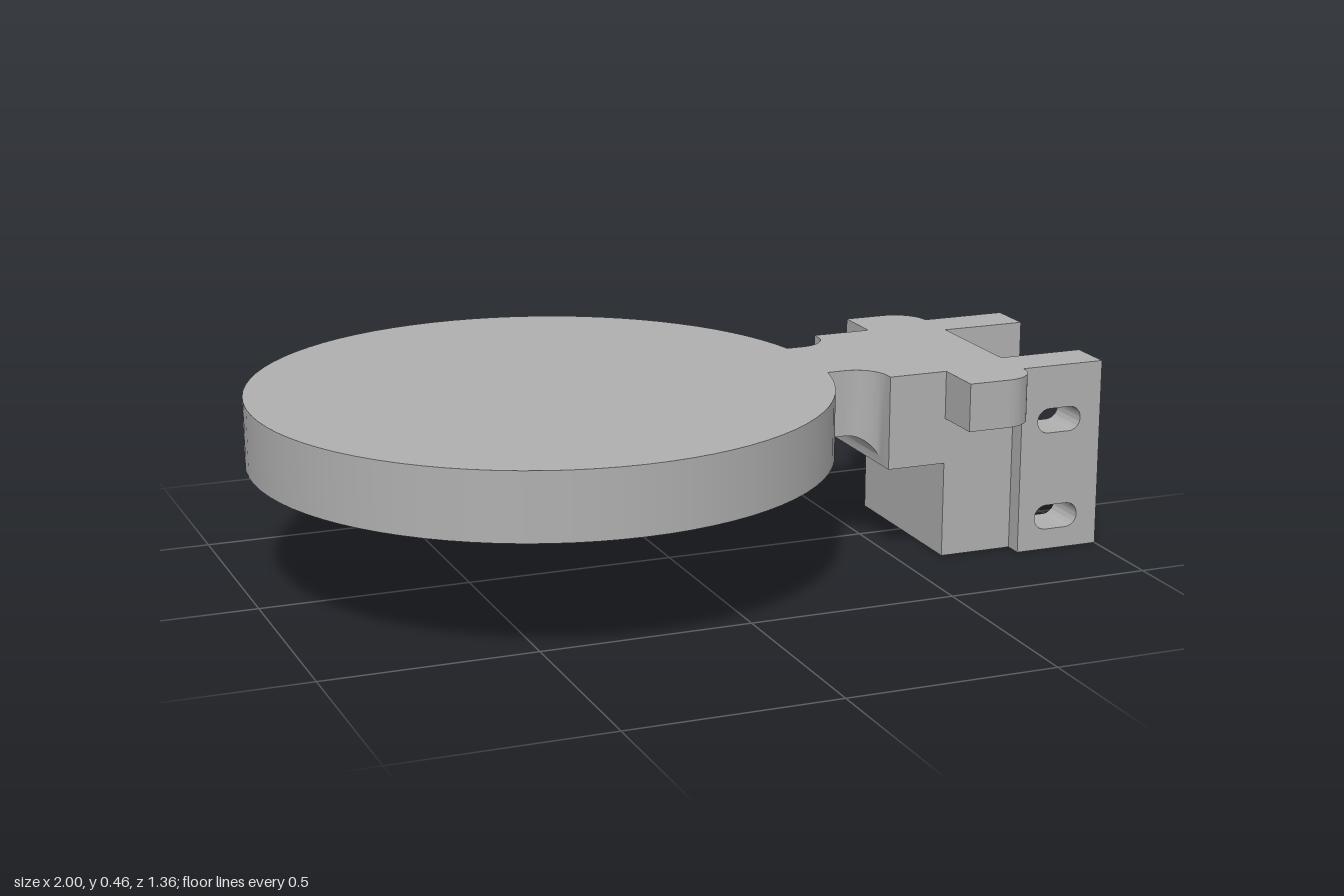
import * as THREE from 'three';
import { toCreasedNormals } from 'three/addons/utils/BufferGeometryUtils.js';

const TOP = 0.455, DISC_BOTTOM = 0.295;

export function createModel() {
  const model = new THREE.Group();
  model.name = 'discBracket';
  const grey = new THREE.MeshStandardMaterial({ color: 0xb0b0b0 });
  grey.name = 'plainGrey';

  const add = (parent, name, geometry) => {
    const mesh = new THREE.Mesh(geometry, grey);
    mesh.name = name;
    parent.add(mesh);
    return mesh;
  };
  const box = (parent, name, x0, x1, y0, y1, z0, z1) =>
    add(parent, name, new THREE.BoxGeometry(x1 - x0, y1 - y0, z1 - z0))
      .position.set((x0 + x1) / 2, (y0 + y1) / 2, (z0 + z1) / 2);
  const extrude = (shape, depth) => toCreasedNormals(
    new THREE.ExtrudeGeometry(shape, { depth, bevelEnabled: false, curveSegments: 12 }), 0.5);

  // Round plate
  add(model, 'roundPlate', new THREE.CylinderGeometry(0.68, 0.68, TOP - DISC_BOTTOM, 80))
    .position.set(-0.32, (TOP + DISC_BOTTOM) / 2, 0);

  // Bracket, set slightly off the plate's centre line
  const bracket = new THREE.Group();
  bracket.name = 'bracket';
  bracket.position.z = 0.01;
  model.add(bracket);

  // Neck: widens and deepens through concave fillets into the step block
  const x0 = 0.34, x1 = 0.465;
  const fillet = (x, r) => {
    const t = Math.max(0, x - (x1 - r));
    return r - Math.sqrt(Math.max(0, r * r - t * t));
  };
  const neck = new THREE.BoxGeometry(1, 1, 2, 24, 1, 1);
  const p = neck.attributes.position;
  for (let i = 0; i < p.count; i++) {
    // Sections bunch up towards the steep end of the fillets
    const u = p.getX(i) + 0.5;
    const x = x0 + (x1 - x0) * Math.sin(u * Math.PI / 2);
    const y = p.getY(i) > 0 ? TOP : DISC_BOTTOM - fillet(x, 0.065);
    p.setXYZ(i, x, y, p.getZ(i) * (0.122 + fillet(x, 0.075)));
  }
  add(bracket, 'neck', toCreasedNormals(neck, 0.5));

  // Step block behind the clamp body
  box(bracket, 'stepBlock', 0.465, 0.61, 0.23, TOP, -0.215, 0.215);

  // Clamp body: solid back, and a frame around the pocket between the arms
  const bodyTop = 0.34, pocketBack = 0.69, xb = 0.79;
  box(bracket, 'bodyBack', 0.61, pocketBack, 0, bodyTop, -0.215, 0.215);
  box(bracket, 'pocketFloor', pocketBack, xb, 0, 0.075, -0.148, 0.148);
  box(bracket, 'pocketRoof', pocketBack, xb, 0.325, bodyTop, -0.148, 0.148);
  box(bracket, 'pocketLeftWall', pocketBack, xb, 0, bodyTop, -0.215, -0.148);
  box(bracket, 'pocketRightWall', pocketBack, xb, 0, bodyTop, 0.148, 0.215);

  // Wing plate with rounded outer corners
  const r = 0.08, w = 0.34;
  const wing = new THREE.Shape();
  wing.moveTo(0.61, -w);
  wing.lineTo(xb - r, -w);
  wing.absarc(xb - r, -w + r, r, -Math.PI / 2, 0, false);
  wing.lineTo(xb, w - r);
  wing.absarc(xb - r, w - r, r, 0, Math.PI / 2, false);
  wing.lineTo(0.61, w);
  wing.closePath();
  const wingPlate = add(bracket, 'wingPlate', extrude(wing, TOP - bodyTop));
  wingPlate.rotation.x = Math.PI / 2;
  wingPlate.position.y = TOP;

  // Two arms, each with two slots
  const arm = new THREE.Shape();
  arm.moveTo(xb, 0);
  arm.lineTo(1, 0);
  arm.lineTo(1, TOP);
  arm.lineTo(xb, TOP);
  arm.closePath();
  for (const y of [0.08, 0.32]) {
    const slot = new THREE.Path();
    slot.absarc(0.863, y, 0.03, Math.PI / 2, Math.PI * 1.5, false);
    slot.absarc(0.917, y, 0.03, -Math.PI / 2, Math.PI / 2, false);
    slot.closePath();
    arm.holes.push(slot);
  }
  const armGeometry = extrude(arm, 0.112);
  add(bracket, 'frontArm', armGeometry).position.z = 0.148;
  add(bracket, 'backArm', armGeometry).position.z = -0.26;

  return model;
}
